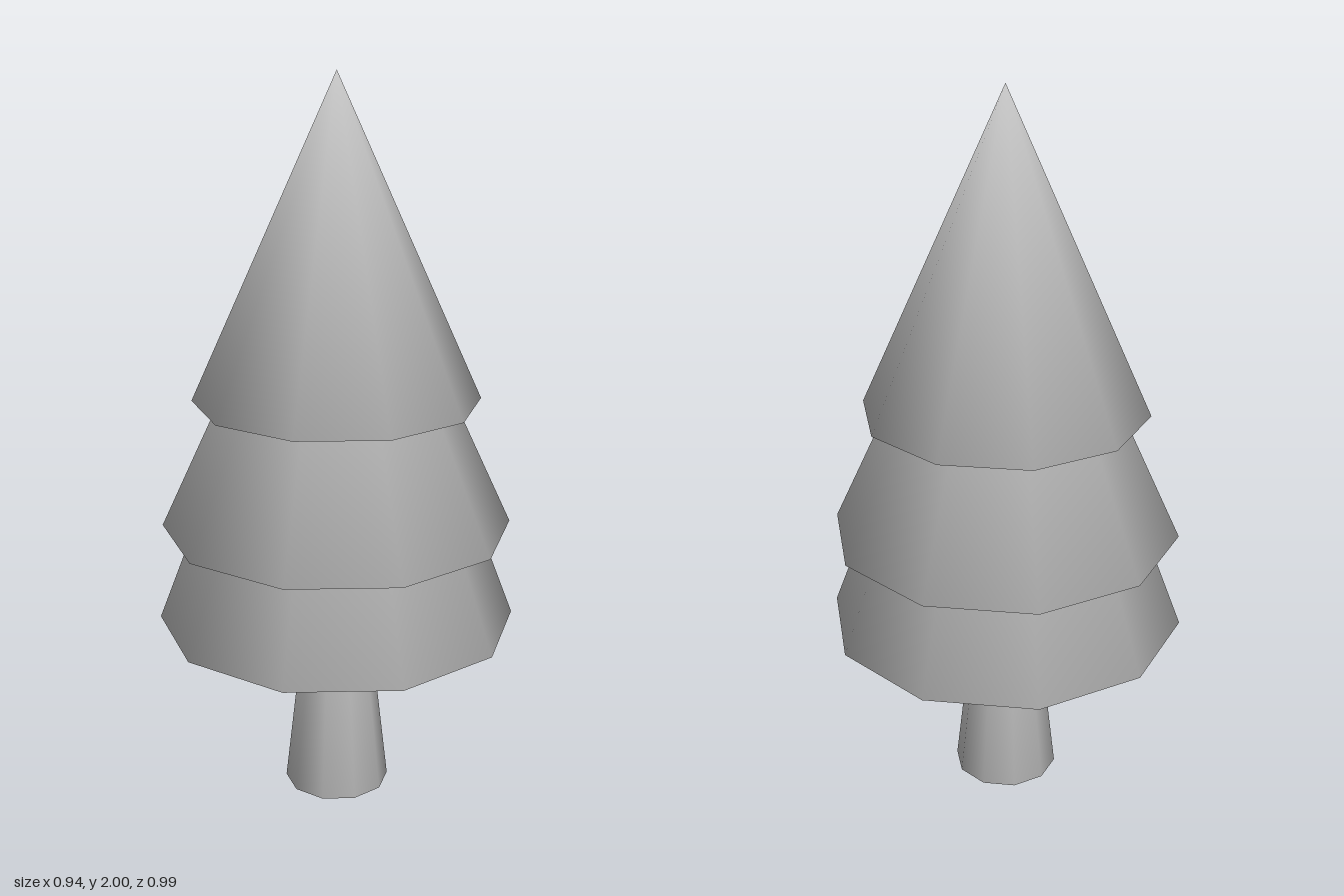
import * as THREE from 'three';

const SIDES = 10;

// Closed ten-sided cone whose side and base share rim normals, for soft shading
function softCone(radius, baseY, tipY) {
  const positions = [0, tipY, 0];
  const normals = [0, 1, 0];
  const index = [];
  const rimNormal = new THREE.Vector3();
  for (let i = 0; i < SIDES; i++) {
    const a = (i / SIDES) * Math.PI * 2;
    positions.push(radius * Math.sin(a), baseY, radius * Math.cos(a));
    rimNormal.set(Math.sin(a), -0.25, Math.cos(a)).normalize();
    normals.push(rimNormal.x, rimNormal.y, rimNormal.z);
    // Side face
    index.push(0, 1 + i, 1 + ((i + 1) % SIDES));
    // Base face
    if (i > 0 && i < SIDES - 1) index.push(1, 2 + i, 1 + i);
  }
  const geometry = new THREE.BufferGeometry();
  geometry.setAttribute('position', new THREE.Float32BufferAttribute(positions, 3));
  geometry.setAttribute('normal', new THREE.Float32BufferAttribute(normals, 3));
  geometry.setIndex(index);
  return geometry;
}

export function createModel() {
  const tree = new THREE.Group();
  tree.name = 'tree';

  const grey = new THREE.MeshStandardMaterial({ color: 0xcccccc });
  grey.name = 'light grey';

  // Tapered trunk and three overlapping tiers: name, radius, base height, tip height
  const parts = [
    ['trunk', 0.147, 0, 1.3],
    ['lowerBranches', 0.495, 0.51, 1.81],
    ['middleBranches', 0.48, 0.785, 1.82],
    ['upperBranches', 0.39, 1.14, 2],
  ];
  for (const [name, radius, baseY, tipY] of parts) {
    const mesh = new THREE.Mesh(softCone(radius, baseY, tipY), grey);
    mesh.name = name;
    tree.add(mesh);
  }
  return tree;
}
